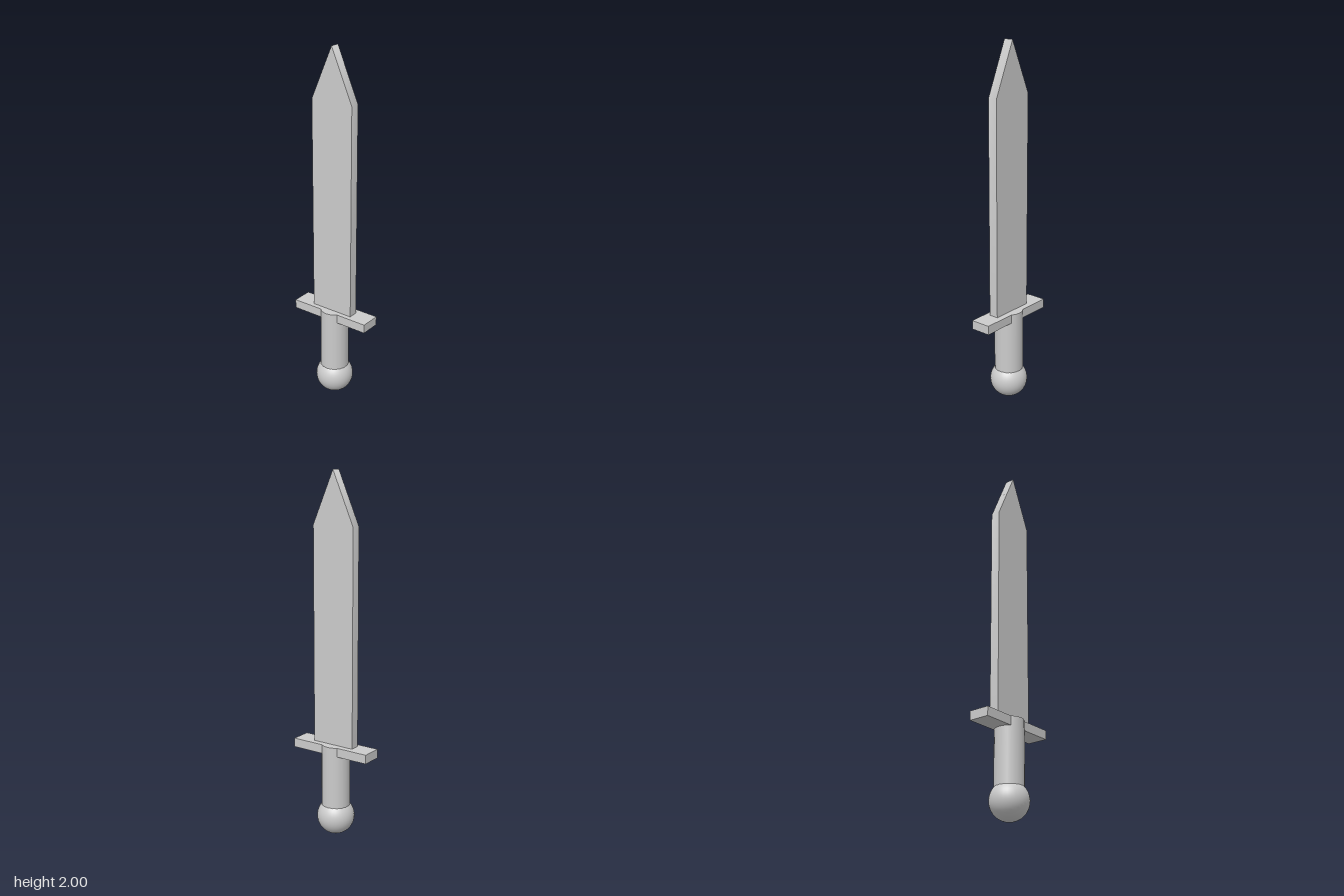
import * as THREE from 'three';
import { toCreasedNormals } from 'three/addons/utils/BufferGeometryUtils.js';

const TIP = 2, SHOULDER = 1.714, GUARD_TOP = 0.524, GUARD_BOTTOM = 0.474;
const POMMEL_R = 0.104, GRIP_R = 0.079, BLADE_DEPTH = 0.053;

// Flat blade with a pointed tip; its rim is smooth, its faces stay crisp
function bladeGeometry() {
  const outline = new THREE.Shape([
    [-0.126, GUARD_TOP], [0.126, GUARD_TOP], [0.126, SHOULDER], [0, TIP], [-0.126, SHOULDER],
  ].map(([x, y]) => new THREE.Vector2(x, y)));
  const extruded = new THREE.ExtrudeGeometry(outline, { depth: BLADE_DEPTH, bevelEnabled: false });
  extruded.translate(0, 0, -BLADE_DEPTH / 2);
  const geometry = toCreasedNormals(extruded, Math.PI / 4);
  const { position, normal } = geometry.attributes;
  for (let i = 0; i < position.count; i++) {
    if (position.getY(i) > TIP - 0.001 && Math.abs(normal.getZ(i)) < 0.5) normal.setXYZ(i, 0, 1, 0);
  }
  return geometry;
}

export function createModel() {
  const model = new THREE.Group();
  model.name = 'sword';
  const metal = new THREE.MeshStandardMaterial({ color: 0xcccccc });

  function add(name, geometry, x, y, z) {
    const mesh = new THREE.Mesh(geometry, metal);
    mesh.name = name;
    mesh.position.set(x, y, z);
    model.add(mesh);
  }

  // Blade
  add('blade', bladeGeometry(), -0.001, 0, 0);

  // Crossguard, flush with the top of the grip
  const guardHeight = GUARD_TOP - GUARD_BOTTOM;
  add('crossguard', new THREE.BoxGeometry(0.476, guardHeight, 0.115), 0, GUARD_BOTTOM + guardHeight / 2, -0.004);

  // Grip, sunk into the pommel
  const gripHeight = GUARD_TOP - POMMEL_R;
  add('grip', new THREE.CylinderGeometry(GRIP_R, GRIP_R, gripHeight, 18), -0.002, POMMEL_R + gripHeight / 2, -0.001);

  // Round pommel
  add('pommel', new THREE.SphereGeometry(POMMEL_R, 32, 24), -0.002, POMMEL_R, -0.001);

  return model;
}
